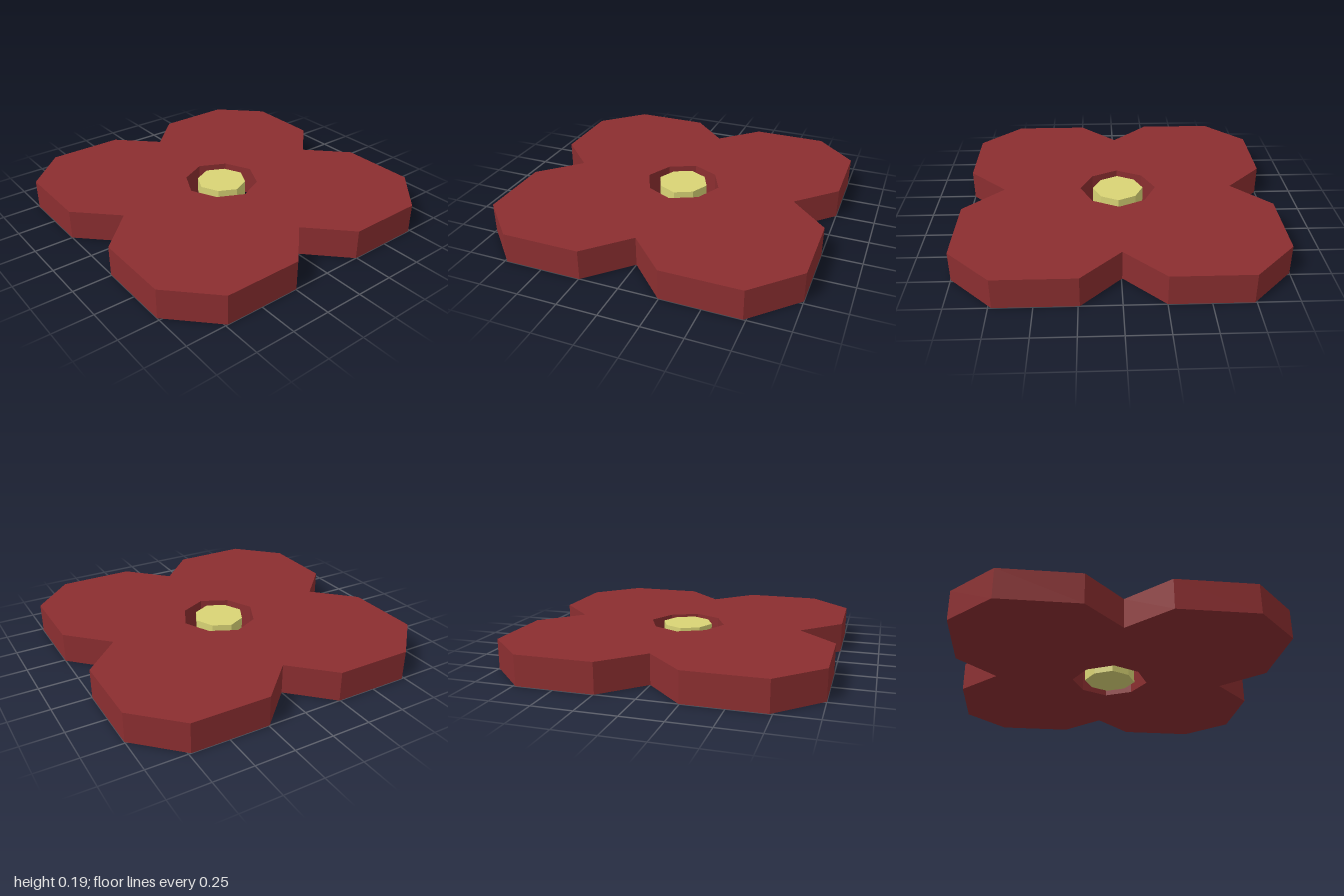
import * as THREE from 'three';

const HEIGHT = 0.19;
const OFFSET = -0.005; // the centre sits very slightly towards the back

// Eight-sided ring of points with corners on the axes
function octagon(radius) {
  return Array.from({ length: 8 }, (_, i) => {
    const a = (i * Math.PI) / 4;
    const r = i % 2 ? radius * 0.955 : radius;
    return new THREE.Vector2(Math.cos(a) * r, Math.sin(a) * r + OFFSET);
  });
}

// Four bevelled petals meeting in notches on the axes
function petalOutline() {
  const quarter = [[0.755, 0], [1, 0.245], [1, 0.735], [0.735, 1], [0.245, 1]];
  const points = [];
  for (let q = 0; q < 4; q++) {
    for (const [px, py] of quarter) {
      let x = px, y = py;
      for (let k = 0; k < q; k++) [x, y] = [-y, x];
      points.push(new THREE.Vector2(x, Math.abs(y) === 1 ? y : y + OFFSET));
    }
  }
  return points;
}

// Extrude a plan shape upwards from y = 0
function slab(shape) {
  const geometry = new THREE.ExtrudeGeometry(shape, { depth: HEIGHT, bevelEnabled: false });
  geometry.rotateX(Math.PI / 2);
  geometry.translate(0, HEIGHT, 0);
  return geometry;
}

export function createModel() {
  const group = new THREE.Group();
  group.name = 'flower';

  const red = new THREE.MeshStandardMaterial({ color: 0x8b2e30 });
  red.name = 'petal red';
  const yellow = new THREE.MeshStandardMaterial({ color: 0xd9d475 });
  yellow.name = 'centre yellow';

  // Petals with an open hole in the middle
  const petalShape = new THREE.Shape(petalOutline());
  petalShape.holes.push(new THREE.Path(octagon(0.25).reverse()));
  const petals = new THREE.Mesh(slab(petalShape), red);
  petals.name = 'petals';
  group.add(petals);

  // Loose centre disc
  const centre = new THREE.Mesh(slab(new THREE.Shape(octagon(0.167))), yellow);
  centre.name = 'flowerCentre';
  group.add(centre);

  return group;
}
